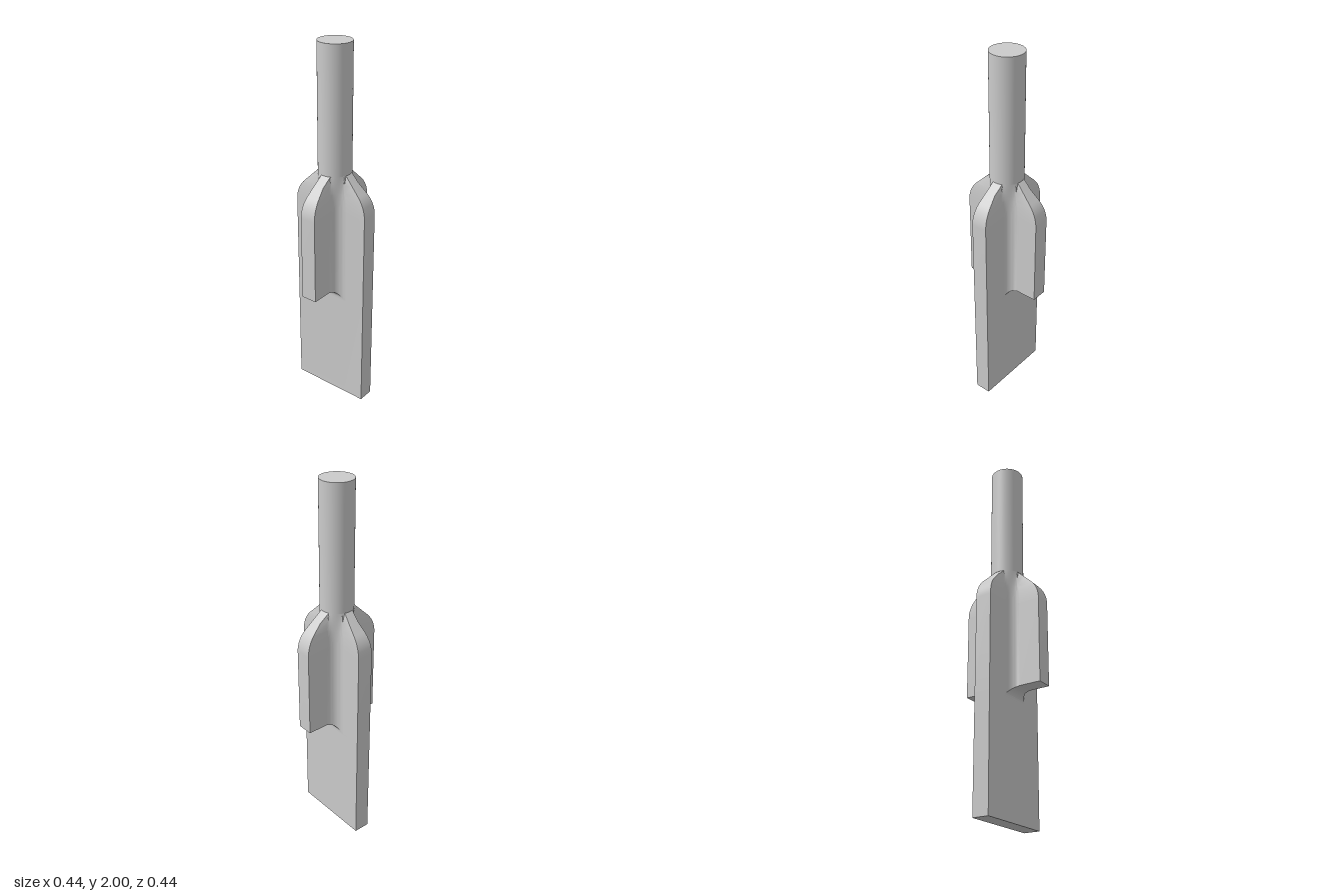
import * as THREE from 'three';
import { toCreasedNormals } from 'three/addons/utils/BufferGeometryUtils.js';

const R = 0.222;        // reach of the fins
const W = 0.044;        // half thickness of the fins
const F = 0.062;        // fillet radius between fins
const SHAFT = 0.088;    // shaft radius
const TIP = 0.02;       // half width of a fin where it meets the shaft
const FIN_Y = 0.67, SHOULDER_Y = 1.133, NECK_Y = 1.333;
const STEPS = 14;

// Concave fillet height at distance s from the fin face.
const fillet = (s) => F - Math.sqrt(Math.max(0, F * F - (s - F) ** 2));

// One quadrant from the +x fin tip to the +z fin tip.
// d: depth below the underside of the x fins; out: whether the x fins are present.
function quadrant(d, out) {
  const pts = [out ? [R, W] : [W + fillet(d), W + d]];
  for (let i = 0; i <= STEPS; i++) {
    const s = Math.max(F - F * Math.cos((i / STEPS) * Math.PI / 2), d);
    pts.push([W + fillet(s), W + s]);
  }
  pts.push([W, R]);
  return pts;
}

// Mirror a quadrant into a full closed ring at height y.
function ring(q, y) {
  const rev = [...q].reverse();
  return [
    ...q.map(([x, z]) => [x, y, z]),
    ...rev.map(([x, z]) => [-x, y, z]),
    ...q.map(([x, z]) => [-x, y, -z]),
    ...rev.map(([x, z]) => [x, y, -z]),
  ];
}

function bladeGeometry() {
  const rings = [ring(quadrant(F, false), 0)];
  // Fillet under the short fins
  for (let i = 0; i <= STEPS; i++) {
    const d = F * Math.cos((i / STEPS) * Math.PI / 2);
    rings.push(ring(quadrant(i === STEPS ? 0 : d, false), FIN_Y - d));
  }
  // Underside and straight part of the cross
  const cross = quadrant(0, true);
  rings.push(ring(cross, FIN_Y), ring(cross, SHOULDER_Y));
  // Shoulder: the cross blends into the shaft's circle along an arc, then a slope
  const tipAngle = Math.asin(TIP / SHAFT);
  const circle = cross.map(([x, z], i) => {
    const a = i === 0 ? tipAngle
      : i === cross.length - 1 ? Math.PI / 2 - tipAngle : Math.atan2(z, x);
    return [SHAFT * Math.cos(a), SHAFT * Math.sin(a)];
  });
  const profile = [];
  for (let i = 1; i <= 10; i++) {
    const a = (i / 10) * Math.PI / 4;
    profile.push([0.16 * (1 - Math.cos(a)), 0.16 * Math.sin(a)]);
  }
  profile.push([0.09, 0.156], [R - SHAFT, NECK_Y - SHOULDER_Y]);
  for (const [drop, rise] of profile) {
    const t = drop / (R - SHAFT);
    const q = cross.map(([x, z], i) => [
      x + (circle[i][0] - x) * t, z + (circle[i][1] - z) * t]);
    rings.push(ring(q, SHOULDER_Y + rise));
  }

  const pos = [];
  const tri = (...p) => {
    const [a, b, c] = p.map((v) => new THREE.Vector3(...v));
    if (b.sub(a).cross(c.sub(a)).length() > 1e-9) pos.push(...p.flat());
  };
  const n = rings[0].length;
  for (let k = 0; k + 1 < rings.length; k++) {
    const a = rings[k], b = rings[k + 1];
    for (let j = 0; j < n; j++) {
      const m = (j + 1) % n;
      tri(a[j], b[j], a[m]);
      tri(b[j], b[m], a[m]);
    }
  }
  // Bottom and neck caps
  const top = rings[rings.length - 1];
  for (let j = 0; j < n; j++) {
    const m = (j + 1) % n;
    tri([0, 0, 0], rings[0][j], rings[0][m]);
    tri([0, NECK_Y, 0], top[m], top[j]);
  }
  const g = new THREE.BufferGeometry();
  g.setAttribute('position', new THREE.Float32BufferAttribute(pos, 3));
  return toCreasedNormals(g, Math.PI / 7);
}

export function createModel() {
  const group = new THREE.Group();
  group.name = 'finnedBlade';
  const material = new THREE.MeshStandardMaterial({ color: 0xcccccc });

  // Long flat blade with two short cross fins
  const blade = new THREE.Mesh(bladeGeometry(), material);
  blade.name = 'bladeAndFins';

  // Round shaft
  const shaft = new THREE.Mesh(
    new THREE.CylinderGeometry(SHAFT, SHAFT, 2 - NECK_Y, 64), material);
  shaft.position.y = (2 + NECK_Y) / 2;
  shaft.name = 'shaft';

  group.add(blade, shaft);
  return group;
}
